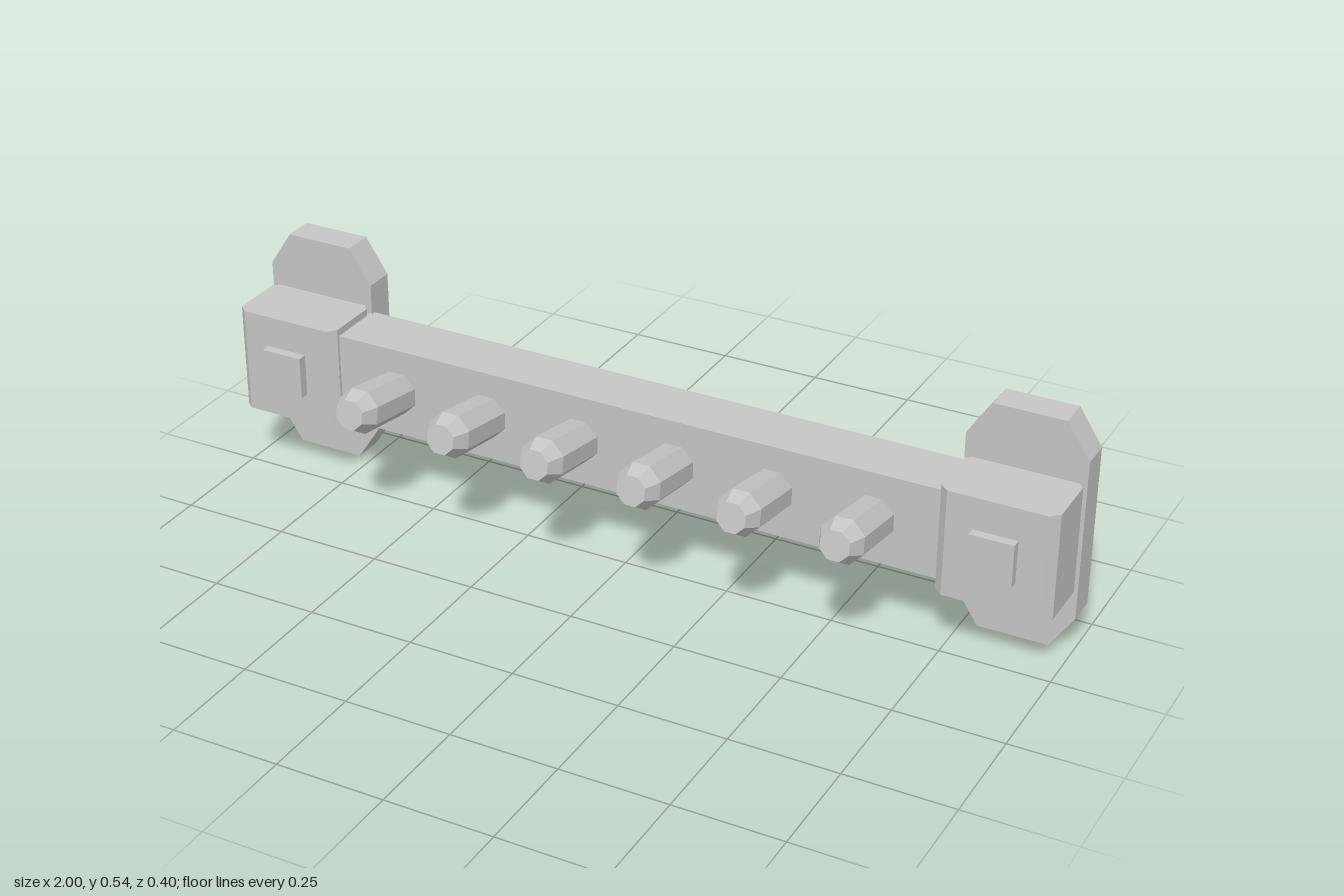
import * as THREE from 'three';

const gray = new THREE.MeshStandardMaterial({ color: 0xc5c5c5 });
gray.name = 'lightGray';

// Rectangle with cut corners, extruded and centred on the origin
function chamferedPrism(w, h, cx, cy, depth) {
  const x = w / 2, y = h / 2;
  const shape = new THREE.Shape([
    [x - cx, -y], [x, -y + cy], [x, y - cy], [x - cx, y],
    [-x + cx, y], [-x, y - cy], [-x, -y + cy], [-x + cx, -y],
  ].map(([a, b]) => new THREE.Vector2(a, b)));
  return new THREE.ExtrudeGeometry(shape, { depth, bevelEnabled: false }).translate(0, 0, -depth / 2);
}

function part(name, geometry, x, y, z) {
  const mesh = new THREE.Mesh(geometry, gray);
  mesh.name = name;
  mesh.position.set(x, y, z);
  return mesh;
}

// Eight-sided peg with a tapered tip, flat faceted
function pegGeometry() {
  const profile = [[0, -0.03], [0.051, -0.03], [0.0535, 0.16], [0.0355, 0.198], [0, 0.198]]
    .map(([r, y]) => new THREE.Vector2(r, y));
  const g = new THREE.LatheGeometry(profile, 8, Math.PI / 8).toNonIndexed();
  g.computeVertexNormals();
  return g;
}

export function createModel() {
  const model = new THREE.Group();
  model.name = 'pegRack';

  // Horizontal rail
  model.add(part('rail', new THREE.BoxGeometry(1.5, 0.213, 0.14), 0, 0.281, -0.07));

  // Wall plate, block and stud at each end
  const plate = chamferedPrism(0.27, 0.541, 0.054, 0.082, 0.072);
  const block = chamferedPrism(0.26, 0.16, 0.02, 0.018, 0.25).rotateX(-Math.PI / 2);
  const stud = new THREE.BoxGeometry(0.1, 0.1, 0.05);
  for (const [label, side] of [['left', 1], ['right', -1]]) {
    const bracket = new THREE.Group();
    bracket.name = label + 'Bracket';
    bracket.add(
      part('wallPlate', plate, side * 0.865, 0.2705, -0.165),
      part('block', block, side * 0.865, 0.28, -0.055),
      part('stud', stud, side * 0.865, 0.28, 0.022),
    );
    model.add(bracket);
  }

  // Row of pegs tilted slightly upward
  const peg = pegGeometry();
  for (let i = 0; i < 6; i++) {
    const mesh = part('peg' + (i + 1), peg, (i - 2.5) * 0.234, 0.281, 0);
    mesh.rotation.x = THREE.MathUtils.degToRad(80);
    model.add(mesh);
  }
  return model;
}
